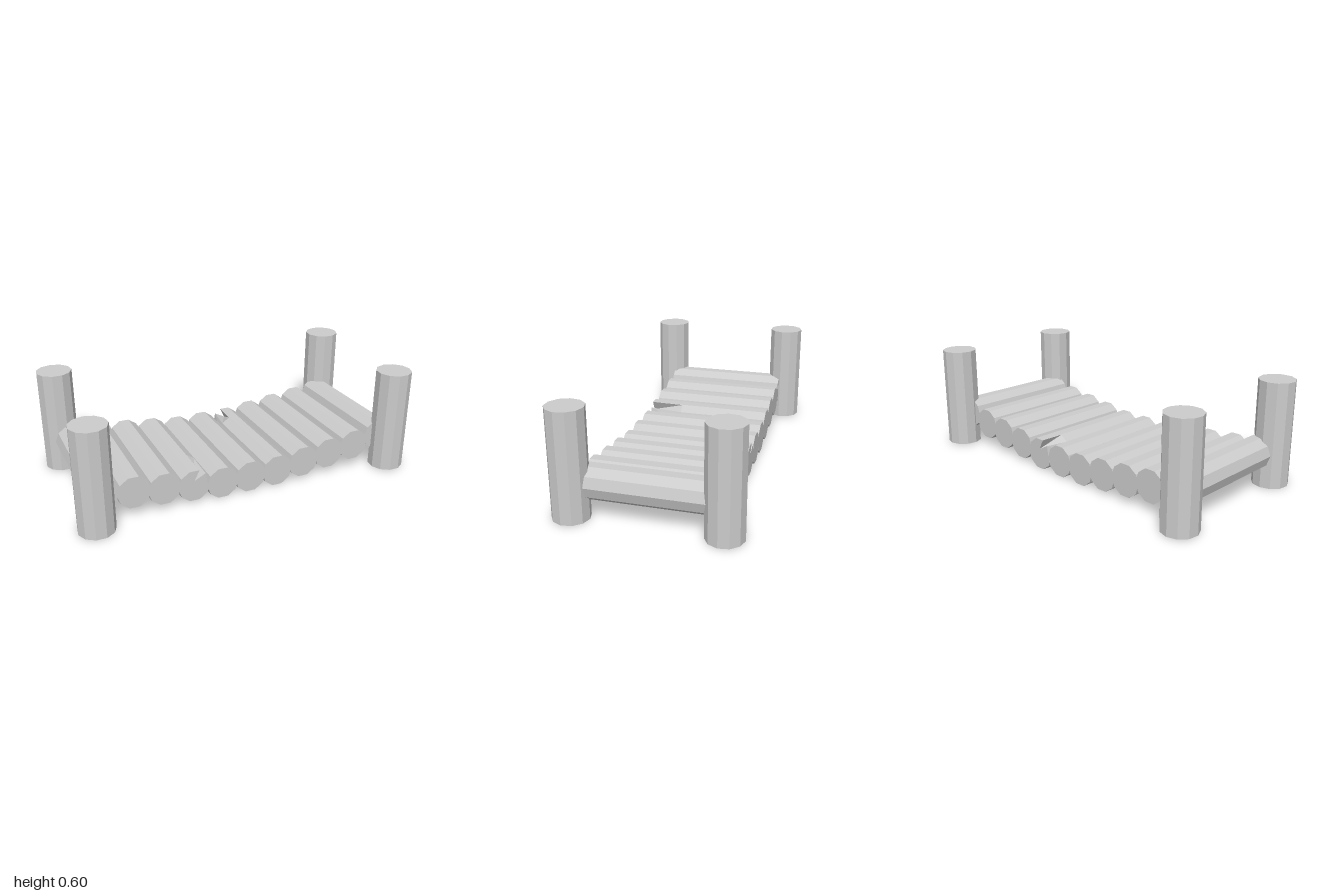
import * as THREE from 'three';

const LOG_R = 0.0946, LOG_HALF = 0.373, SPACING = 0.17;
const material = new THREE.MeshStandardMaterial({ color: 0xcccccc, flatShading: true, side: THREE.DoubleSide });

// Closed solid through matching cross-sections [{ z, points }], ordered by rising z
function loft(sections) {
  const n = sections[0].points.length;
  const positions = [], indices = [];
  sections.forEach(({ z, points }) => points.forEach(([x, y]) => positions.push(x, y, z)));
  for (let s = 0; s < sections.length - 1; s++) {
    for (let i = 0; i < n; i++) {
      const a = s * n + i, b = s * n + (i + 1) % n;
      indices.push(a, b, b + n, a, b + n, a + n);
    }
  }
  const cap = (s, flip) => {
    const outline = sections[s].points.map(([x, y]) => new THREE.Vector2(x, y));
    for (const [a, b, c] of THREE.ShapeUtils.triangulateShape(outline, [])) {
      const o = s * n;
      indices.push(o + a, o + (flip ? c : b), o + (flip ? b : c));
    }
  };
  cap(0, true);
  cap(sections.length - 1, false);
  const geometry = new THREE.BufferGeometry();
  geometry.setAttribute('position', new THREE.Float32BufferAttribute(positions, 3));
  geometry.setIndex(indices);
  const flat = geometry.toNonIndexed();
  flat.computeVertexNormals();
  return flat;
}

// Ten-sided log outline, with one extra point on the upper right where a split can open
function logOutline() {
  const points = [];
  for (let i = 0; i < 10; i++) {
    const a = i * Math.PI / 5;
    points.push([LOG_R * Math.cos(a), LOG_R * Math.sin(a)]);
  }
  points.splice(2, 0, [0.031, 0.0885]);
  return points;
}

// Log whose +z end has a wedge-shaped split that closes at splitStart
function splitLog(splitStart) {
  const whole = logOutline();
  const broken = logOutline();
  broken[0] = [0.083, -0.035];
  broken[1] = [0.065, 0.064];
  broken[2] = [0, 0.03];
  return loft([
    { z: -LOG_HALF, points: whole },
    { z: splitStart, points: whole },
    { z: LOG_HALF, points: broken },
  ]);
}

export function createModel() {
  const model = new THREE.Group();
  model.name = 'logBridge';

  // Corner posts
  const postGeometry = new THREE.CylinderGeometry(0.102, 0.102, 0.6, 11, 1, false, Math.PI);
  for (const x of [-0.899, 0.899]) {
    for (const z of [-0.398, 0.402]) {
      const post = new THREE.Mesh(postGeometry, material);
      post.name = 'cornerPost';
      post.position.set(x, 0.3, z);
      model.add(post);
    }
  }

  // Sagging deck of logs, lowest in the middle
  const deck = new THREE.Group();
  deck.name = 'deck';
  const plainGeometry = new THREE.CylinderGeometry(LOG_R, LOG_R, LOG_HALF * 2, 10).rotateX(Math.PI / 2);
  plainGeometry.rotateZ(Math.PI / 2);
  const heights = [0.09, 0.09, 0.11, 0.13, 0.15, 0.19];
  for (let k = -5; k <= 5; k++) {
    let geometry = plainGeometry;
    if (k === -2) geometry = splitLog(0.17);
    if (k === 1) geometry = splitLog(0.23).rotateY(Math.PI);
    const log = new THREE.Mesh(geometry, material);
    log.name = geometry === plainGeometry ? 'deckLog' : 'splitDeckLog';
    log.position.set(k * SPACING, heights[Math.abs(k)], 0);
    deck.add(log);
  }
  model.add(deck);

  return model;
}
